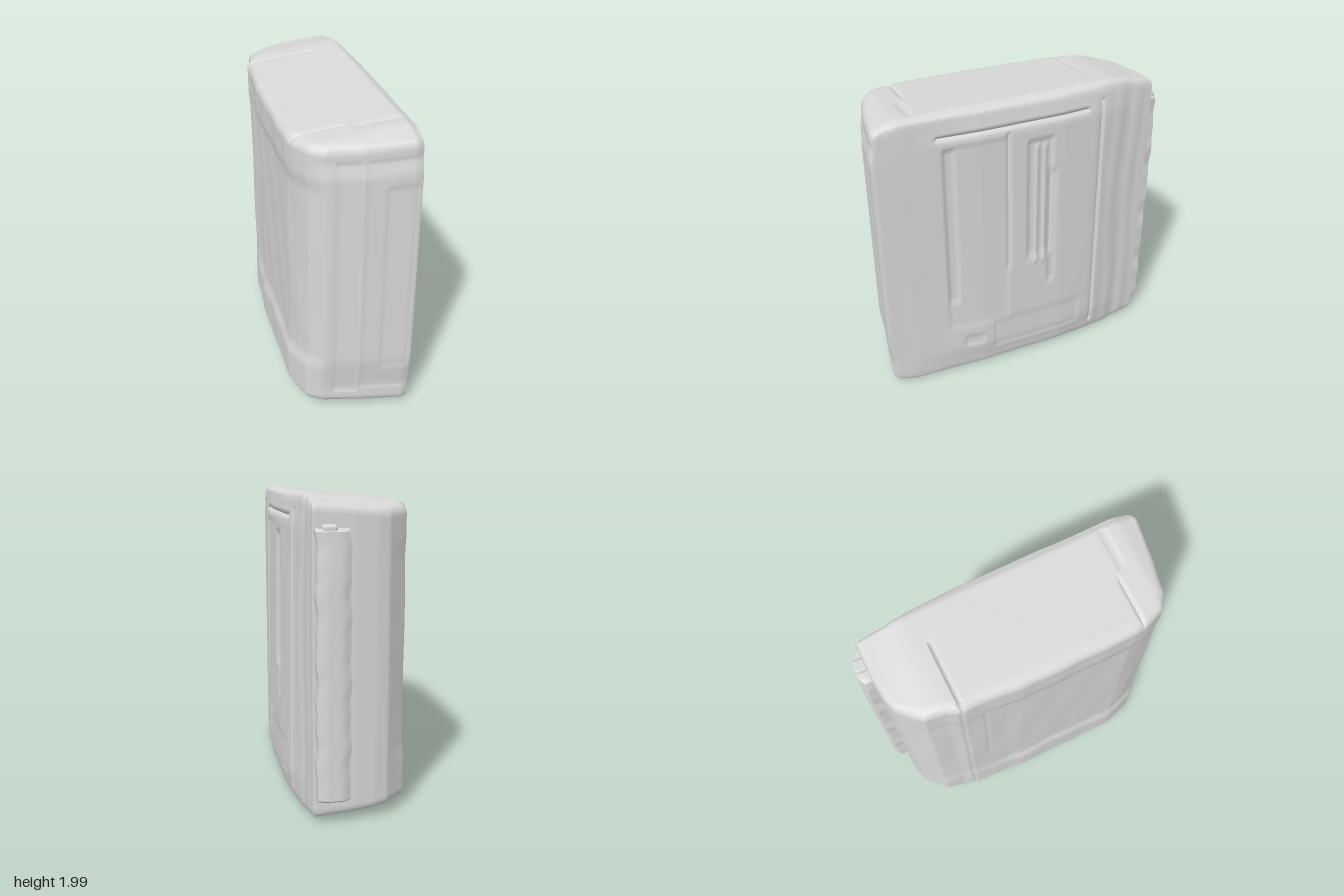
import * as THREE from 'three';
import { toCreasedNormals, mergeVertices } from 'three/addons/utils/BufferGeometryUtils.js';
import { RoundedBoxGeometry } from 'three/addons/geometries/RoundedBoxGeometry.js';

const step = THREE.MathUtils.smoothstep;

// Soft-edged rectangle mask, 1 inside and 0 outside
const mask = (u, v, [u0, u1, v0, v1], e = 0.012) =>
  step(u, u0 - e, u0 + e) * (1 - step(u, u1 - e, u1 + e)) *
  step(v, v0 - e, v0 + e) * (1 - step(v, v1 - e, v1 + e));

// Footprint [x, z], running from the back down the -x side to the front and returning
const footprint = [
  [0.04, -0.92], [-0.1, -0.905], [-0.18, -0.88], [-0.31, -0.75], [-0.328, -0.62], [-0.362, -0.54],
  [-0.365, -0.25], [-0.378, -0.15], [-0.378, 0.6], [-0.355, 0.7], [-0.31, 0.82], [-0.23, 0.9],
  [-0.02, 0.955], [0.28, 1.0], [0.325, 0.985], [0.345, 0.8], [0.358, 0.6], [0.38, 0.32],
  [0.381, -0.25], [0.362, -0.48], [0.338, -0.62], [0.31, -0.76], [0.295, -0.92],
];

// Recesses on the +x face: z range, y range, depth
const sideRecesses = [
  [-0.54, -0.526, 0.08, 1.92, 0.024],
  [-0.43, 0.6, 1.86, 1.88, 0.02],
  [0.14, 0.565, 0.38, 1.8, 0.006],
  [0.49, 0.555, 0.6, 1.78, 0.012],
  [0.125, 0.145, 0.8, 1.83, 0.012],
  [-0.17, 0.0, 0.85, 1.74, 0.014],
  [-0.2, -0.15, 0.6, 1.5, 0.01],
  [-0.41, 0.25, 0.13, 0.36, 0.006],
  [0.32, 0.46, 0.2, 0.28, 0.008],
];
// Raised bars inside the middle slot
const sideBars = [[-0.075, -0.05, 0.8, 1.7, 0.012], [-0.13, -0.11, 0.8, 1.7, 0.012]];
// Recesses on the front: x range, y range, depth
const frontRecesses = [
  [0.0, 0.3, 0.13, 1.9, 0.006], [0.12, 0.3, 0.33, 1.72, 0.006], [-0.17, -0.02, 0.1, 1.9, 0.006],
];
// Upright grooves on the -x face: z range, y range, depth
const leftGrooves = [[-0.545, -0.53, 0.05, 1.95, 0.014], [-0.4, -0.385, 0.75, 1.75, 0.006]];
// Grooves across the top: x range, z range, depth
const topGrooves = [
  [-0.5, 0.08, -0.535, -0.52, 0.025], [-0.5, -0.05, 0.655, 0.67, 0.018], [0.0, 0.28, 0.69, 0.74, 0.008],
];

// Evenly spaced points along the closed footprint
function outline(count) {
  const path = new THREE.CurvePath();
  footprint.forEach((p, i) => {
    const q = footprint[(i + 1) % footprint.length];
    path.add(new THREE.LineCurve(new THREE.Vector2(...p), new THREE.Vector2(...q)));
  });
  return Array.from({ length: count }, (_, i) => path.getPointAt(i / count));
}

function bodyPoint(p, t, s) {
  let { x, y: z } = p;
  const isSide = x > 0.29 && Math.abs(z) < 0.975;
  const left = step(-x, 0.16, 0.32);
  const front = step(z, 0.8, 0.95);

  // Rounded rims
  const rim = Math.min(t, 1 - t);
  const inset = 0.035 * (1 - Math.sqrt(1 - Math.pow(1 - Math.min(rim / 0.03, 1), 2)));
  const h = 2 * t;

  // Lean, folds and pressed details of the +x face
  if (isSide) {
    const middle = 1 - step(Math.abs(z), 0.3, 0.97);
    x += (0.03 * (0.6 - t) - 0.022 * (1 - step(rim, 0.01, 0.1))) * middle;
    for (const r of sideRecesses) x -= r[4] * mask(z, h, r);
    for (const r of sideBars) x += r[4] * mask(z, h, r);
    x += 0.003 * step(-z, 0.56, 0.64) * (1 - step(-z, 0.84, 0.92)) * Math.sin(z * 45 + 0.8 * Math.sin(h * 4));
  }
  // Front face pulls in toward its top and bottom
  if (front > 0 && !isSide) for (const r of frontRecesses) z -= r[4] * mask(x, h, r);
  z -= front * (0.03 * (1 - step(h, 0.1, 0.42)) + 0.022 * step(h, 1.78, 1.92));
  // Bottom lip, top bulge and grooves of the -x face
  const reach = 1 - 0.6 * step(-z, 0.2, 0.5);
  const lip = 0.34 + 0.02 * Math.sin(z * 9);
  x -= left * reach * (0.022 * (1 - step(h, lip - 0.06, lip + 0.06)) + 0.014 * step(h, 1.68, 1.8));
  x += left * 0.003 * Math.sin(z * 20) * Math.sin(h * 6);
  for (const g of leftGrooves) x += left * g[4] * mask(z, h, g);

  // Caps close onto a slanted centre line
  const spine = 0.19 + 0.09 * z;
  x = spine + (x - spine) * (1 - inset / 0.35) * s;
  z *= 1 - inset;

  // Sloping top and bottom with dropped ends
  const drop = 0.035 * step(z, 0.8, 0.97) + 0.045 * step(-z, 0.6, 0.92);
  let top = 1.935 + 0.06 * (x + 0.35) / 0.63 - drop - 0.03 * step(x, 0.27, 0.345);
  const bottom = 0.005 + 0.05 * (0.3 - x) / 0.65 + drop * 0.7 + 0.025 * step(x, 0.29, 0.37);
  for (const g of topGrooves) top -= g[4] * mask(x, z, g);
  return [x, bottom + (top - bottom) * t, z];
}

// Lofted shell: bottom cap, walls, top cap
function bodyGeometry() {
  const pts = outline(420), n = pts.length, caps = 18, walls = 90;
  const rings = [];
  for (let i = 0; i < caps; i++) rings.push([0, i / caps]);
  for (let i = 0; i <= walls; i++) {
    const u = i / walls;
    rings.push([u - 0.1 * Math.sin(2 * Math.PI * u), 1]);
  }
  for (let i = caps - 1; i >= 0; i--) rings.push([1, i / caps]);

  const pos = [], index = [];
  rings.forEach(([t, s], j) => pts.forEach((p, i) => {
    pos.push(...bodyPoint(p, t, s));
    if (j === rings.length - 1) return;
    const a = j * n + i, b = j * n + (i + 1) % n;
    index.push(a, b, b + n, a, b + n, a + n);
  }));
  const g = new THREE.BufferGeometry();
  g.setAttribute('position', new THREE.Float32BufferAttribute(pos, 3));
  g.setIndex(index);
  return toCreasedNormals(g, 0.7);
}

// Uneven upright strip along the back, flared where it meets the body
function stripGeometry() {
  let g = new THREE.BoxGeometry(0.2, 1.64, 0.2, 8, 40, 8);
  g.deleteAttribute('normal');
  g.deleteAttribute('uv');
  g = mergeVertices(g, 1e-4);
  const p = g.attributes.position;
  for (let i = 0; i < p.count; i++) {
    const x = p.getX(i), y = p.getY(i), z = p.getZ(i);
    const wave = 0.004 * Math.sin(y * 17) + 0.004 * Math.sin(y * 31 + 1);
    const flare = 1 + 0.8 * (z + 0.1);
    const endTaper = z < -0.09 ? 1 - 0.02 * step(Math.abs(y), 0.7, 0.82) : 1;
    // Rounded outer edges and a lean at the top
    const round = z < 0 ? 0.025 * step(Math.abs(x), 0.05, 0.1) + 0.01 * step(y, 0.5, 0.82) : 0;
    p.setXYZ(i, x * flare + wave, y * endTaper, z + round);
  }
  return toCreasedNormals(g, 0.7);
}

export function createModel() {
  const grey = new THREE.MeshStandardMaterial({ color: 0xd8d8d8 });
  grey.name = 'light grey';
  const group = new THREE.Group();
  group.name = 'panelledCase';

  const body = new THREE.Mesh(bodyGeometry(), grey);
  body.name = 'caseBody';

  const strip = new THREE.Mesh(stripGeometry(), grey);
  strip.name = 'backStrip';
  strip.position.set(0.175, 0.98, -0.9);

  // Small catch near the top of the strip
  const catchBlock = new THREE.Mesh(new RoundedBoxGeometry(0.09, 0.09, 0.08, 2, 0.02), grey);
  catchBlock.name = 'stripCatch';
  catchBlock.position.set(0.2, 1.78, -0.945);

  group.add(body, strip, catchBlock);
  return group;
}
